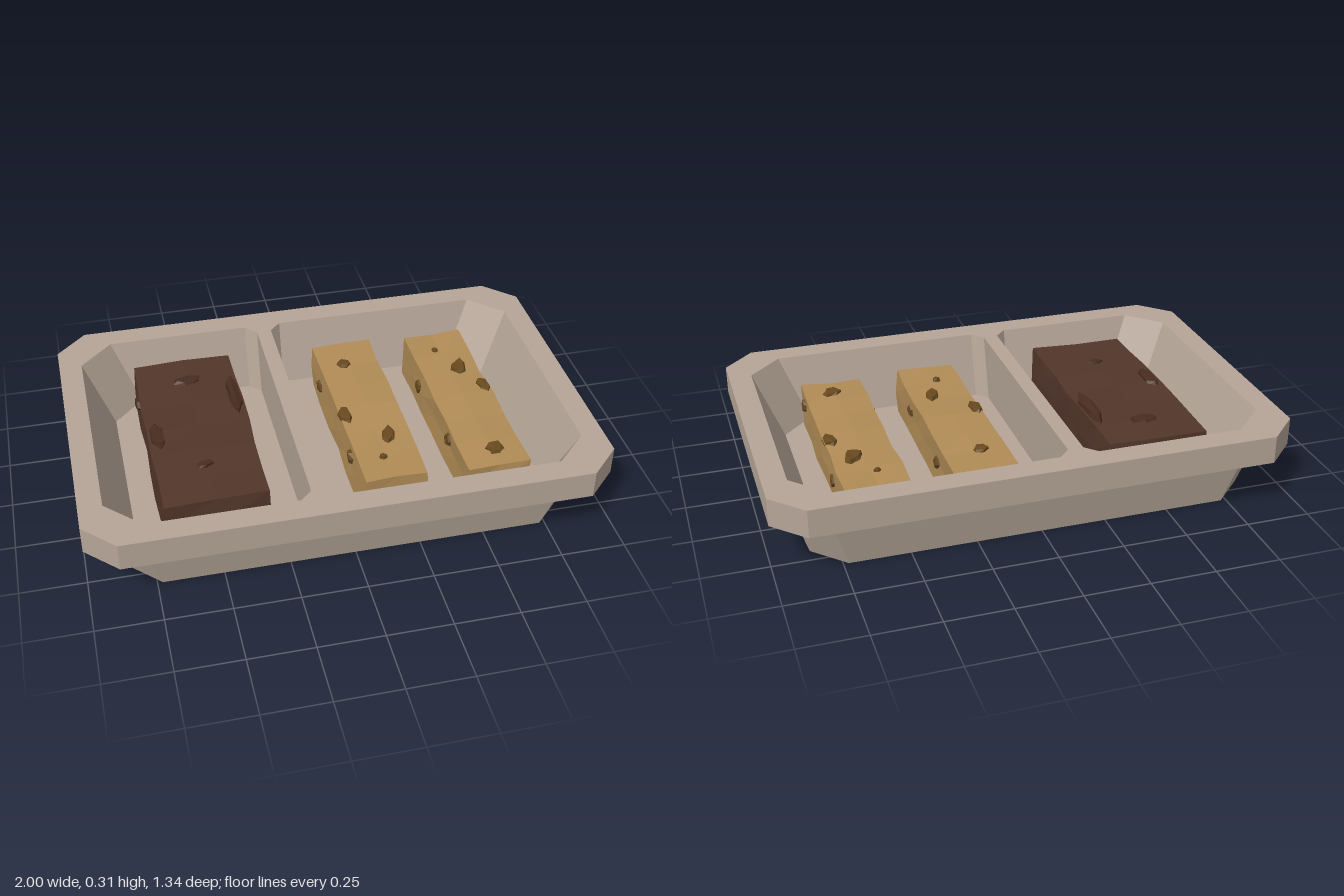
import * as THREE from 'three';

const mat = (name, color, extra = {}) => {
  const m = new THREE.MeshStandardMaterial({ color, flatShading: true, ...extra });
  m.name = name;
  return m;
};

// Chamfered rectangle, counter-clockwise seen from above (y here is -z)
function octagon(x0, x1, z, c0, c1) {
  return [[x0 + c0, -z], [x1 - c1, -z], [x1, -z + c1], [x1, z - c1],
    [x1 - c1, z], [x0 + c0, z], [x0, z - c0], [x0, -z + c0]];
}

// Skin a list of { pts, y } sections, with optional end caps
function loft(sections, capFirst, capLast) {
  const pos = [];
  const rings = sections.map(s => s.pts.map(([x, v]) => [x, s.y, -v]));
  const tri = (a, b, c) => pos.push(...a, ...b, ...c);
  for (let k = 0; k + 1 < rings.length; k++) {
    const a = rings[k], b = rings[k + 1], n = a.length;
    for (let i = 0; i < n; i++) {
      const j = (i + 1) % n;
      tri(a[i], a[j], b[j]);
      tri(a[i], b[j], b[i]);
    }
  }
  const first = rings[0], last = rings[rings.length - 1];
  for (let i = 1; i + 1 < first.length; i++) {
    if (capFirst) tri(first[0], first[i + 1], first[i]);
    if (capLast) tri(last[0], last[i], last[i + 1]);
  }
  const g = new THREE.BufferGeometry();
  g.setAttribute('position', new THREE.Float32BufferAttribute(pos, 3));
  g.computeVertexNormals();
  return g;
}

// Repeatable wobble: the same point always moves the same way
function roughen(g, amount, seed) {
  const p = g.attributes.position;
  const h = (x, y, z, k) => {
    const s = Math.sin(x * 127.1 + y * 311.7 + z * 74.7 + seed * 19.3 + k * 53.9) * 43758.5453;
    return (s - Math.floor(s) - 0.5) * 2 * amount;
  };
  for (let i = 0; i < p.count; i++) {
    const [x, y, z] = [p.getX(i), p.getY(i), p.getZ(i)].map(v => Math.round(v * 1000) / 1000 + 0);
    p.setXYZ(i, x + h(x, y, z, 1), y + h(x, y, z, 2), z + h(x, y, z, 3));
  }
  g.computeVertexNormals();
  return g;
}

export function createModel() {
  const root = new THREE.Group();
  root.name = 'snackTray';
  const clay = mat('tray clay', 0xb5a597);
  const gold = mat('golden bar', 0xb18c56);
  const nut = mat('nut brown', 0x694a1f);
  const cocoa = mat('dark bar', 0x52362a);
  const cocoaChunk = mat('dark chunk', 0x482c20);

  const add = (name, geo, material, parent = root) => {
    const m = new THREE.Mesh(geo, material);
    m.name = name;
    parent.add(m);
    return m;
  };

  // Tray
  const TOP = 0.31, FLOOR = 0.05;
  const tray = new THREE.Group();
  tray.name = 'tray';
  root.add(tray);
  const rim = octagon(-1, 1, 0.67, 0.12, 0.12);
  add('trayOuterWall', loft([
    { pts: octagon(-0.85, 0.85, 0.56, 0.12, 0.12), y: 0 },
    { pts: octagon(-0.91, 0.91, 0.6, 0.12, 0.12), y: 0.2 },
    { pts: rim, y: 0.2 },
    { pts: rim, y: TOP },
  ], true, false), clay, tray);

  // Two pockets: [top outline, floor outline], straight only at the divider
  const pockets = [
    [octagon(-0.91, -0.165, 0.575, 0.13, 0.045), octagon(-0.8, -0.165, 0.508, 0.125, 0.045)],
    [octagon(-0.105, 0.91, 0.575, 0.045, 0.13), octagon(-0.105, 0.8, 0.508, 0.045, 0.125)],
  ];
  const toVec = pts => pts.map(([x, y]) => new THREE.Vector2(x, y));
  const face = new THREE.Shape(toVec(rim));
  pockets.forEach(([top, bottom], i) => {
    face.holes.push(new THREE.Path(toVec(top).reverse()));
    add('pocket' + (i + 1), loft([{ pts: top, y: TOP }, { pts: bottom, y: FLOOR }], false, true), clay, tray);
  });
  add('rimTop', new THREE.ShapeGeometry(face).rotateX(-Math.PI / 2).translate(0, TOP, 0), clay, tray);

  // Slightly uneven bar resting on the pocket floor
  function bar(name, x0, x1, top, material, seed) {
    const group = new THREE.Group();
    group.name = name;
    root.add(group);
    const h = top - FLOOR;
    const g = roughen(new THREE.BoxGeometry(x1 - x0, h, 0.91, 2, 2, 6), 0.006, seed);
    g.translate((x0 + x1) / 2, FLOOR + h / 2, -0.005);
    add(name + 'Body', g, material, group);
    return group;
  }

  // Faceted chunk half sunk in a surface; facing is the axis it points along
  function chunk(parent, material, seed, facing, [x, y, z], rx, rz, turn = 0, height = 0.03) {
    const g = roughen(new THREE.CylinderGeometry(0.75, 1, 1, 6), 0.16, seed);
    g.scale(rx, height, rz).rotateY(turn);
    const m = add('chunk', g, material, parent);
    m.position.set(x, y, z);
    if (facing[0]) m.rotation.z = -facing[0] * Math.PI / 2;
    if (facing[2]) m.rotation.x = facing[2] * Math.PI / 2;
  }
  const UP = [0, 1, 0], LEFT = [1, 0, 0], RIGHT = [-1, 0, 0], FRONT = [0, 0, 1], BACK = [0, 0, -1];

  // Dark bar with chunks on its top and along its long edges
  const dark = bar('darkBar', -0.7, -0.3, 0.262, cocoa, 1);
  [[-0.5, -0.31, 0.07, 0.035, 0, 0.02], [-0.51, 0.24, 0.04, 0.02, 0.3, 0.016],
    [-0.328, -0.18, 0.032, 0.15, 0, 0.05], [-0.665, 0.03, 0.036, 0.1, 0, 0.024]]
    .forEach(([x, z, rx, rz, t, h], i) => chunk(dark, cocoaChunk, i + 2, UP, [x, 0.264, z], rx, rz, t, h));
  chunk(dark, cocoaChunk, 8, FRONT, [-0.45, 0.17, 0.45], 0.04, 0.03);
  chunk(dark, cocoaChunk, 9, RIGHT, [-0.7, 0.19, -0.29], 0.03, 0.03);

  // Golden bars: top chunks are [x, z, rx, rz, turn]
  const goldenBars = [
    { x0: 0.06, x1: 0.305, top: 0.24,
      tops: [[0.165, -0.31, 0.036, 0.032, 0.3], [0.083, 0.03, 0.03, 0.065, 0.1],
        [0.22, 0.19, 0.035, 0.06, -0.3], [0.165, 0.32, 0.017, 0.014, 0]],
      sides: [[1, -0.2], [1, 0.2], [-1, -0.3], [-1, 0.22]], ends: [0.21, 0.23] },
    { x0: 0.465, x1: 0.71, top: 0.23,
      tops: [[0.565, -0.335, 0.017, 0.014, 0], [0.63, -0.205, 0.035, 0.06, -0.3],
        [0.688, -0.05, 0.03, 0.065, 0.1], [0.6, 0.35, 0.045, 0.042, 0.4]],
      sides: [[1, -0.22], [1, 0.37], [-1, -0.21], [-1, 0.2]], ends: [0.535, 0.56] },
  ];
  goldenBars.forEach(({ x0, x1, top, tops, sides, ends }, b) => {
    const group = bar('goldenBar' + (b + 1), x0, x1, top, gold, 20 + b);
    tops.forEach(([x, z, rx, rz, t], i) =>
      chunk(group, nut, 30 + b * 10 + i, UP, [x, top, z], rx, rz, t, 0.022));
    sides.forEach(([s, z], i) =>
      chunk(group, nut, 50 + b * 10 + i, s > 0 ? LEFT : RIGHT, [s > 0 ? x1 : x0, 0.15 + 0.03 * (i % 2), z], 0.032, 0.034, 0.4 * i, 0.02));
    chunk(group, nut, 70 + b, BACK, [ends[0], 0.17, -0.46], 0.035, 0.03, 0.2, 0.02);
    chunk(group, nut, 80 + b, FRONT, [ends[1], 0.15, 0.45], 0.035, 0.03, 0.5, 0.02);
  });

  return root;
}
